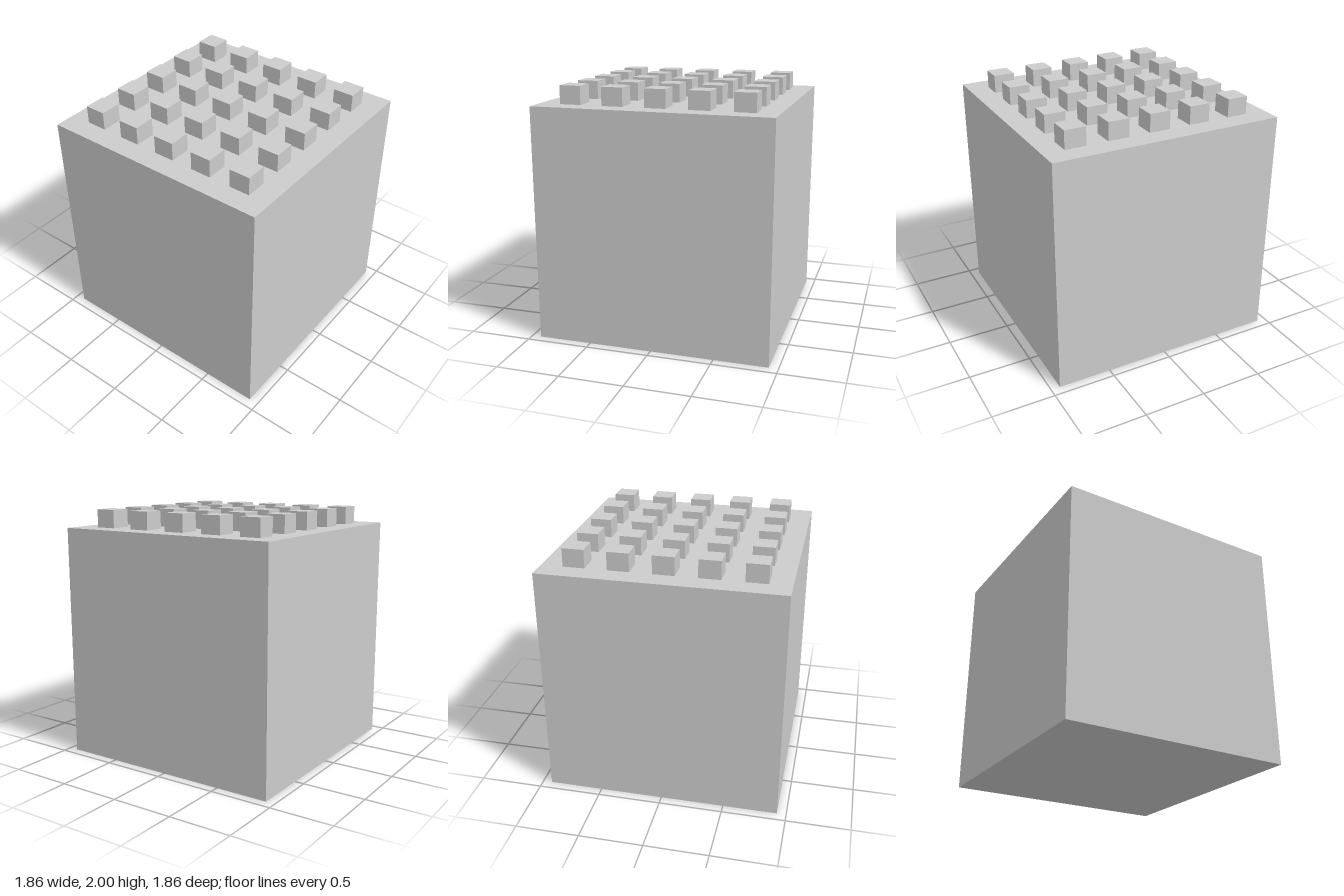
import * as THREE from 'three';

const BODY_WIDTH = 1.855;
const BODY_HEIGHT = 1.857;
const STUD_WIDTH = 0.167;
const STUD_HEIGHT = 2 - BODY_HEIGHT;
const STUD_SPACING = 0.3375;

export function createModel() {
  const model = new THREE.Group();
  model.name = 'studdedBlock';
  const material = new THREE.MeshStandardMaterial({ color: 0xcccccc, flatShading: true });

  // Solid cube body
  const body = new THREE.Mesh(new THREE.BoxGeometry(BODY_WIDTH, BODY_HEIGHT, BODY_WIDTH), material);
  body.name = 'body';
  body.position.y = BODY_HEIGHT / 2;
  model.add(body);

  // Five by five grid of square studs standing on the top face
  const studs = new THREE.Group();
  studs.name = 'studs';
  const studGeometry = new THREE.BoxGeometry(STUD_WIDTH, STUD_HEIGHT, STUD_WIDTH);
  for (let row = -2; row <= 2; row++) {
    for (let column = -2; column <= 2; column++) {
      const stud = new THREE.Mesh(studGeometry, material);
      stud.name = 'stud';
      stud.position.set(column * STUD_SPACING, BODY_HEIGHT + STUD_HEIGHT / 2, row * STUD_SPACING);
      studs.add(stud);
    }
  }
  model.add(studs);

  return model;
}
